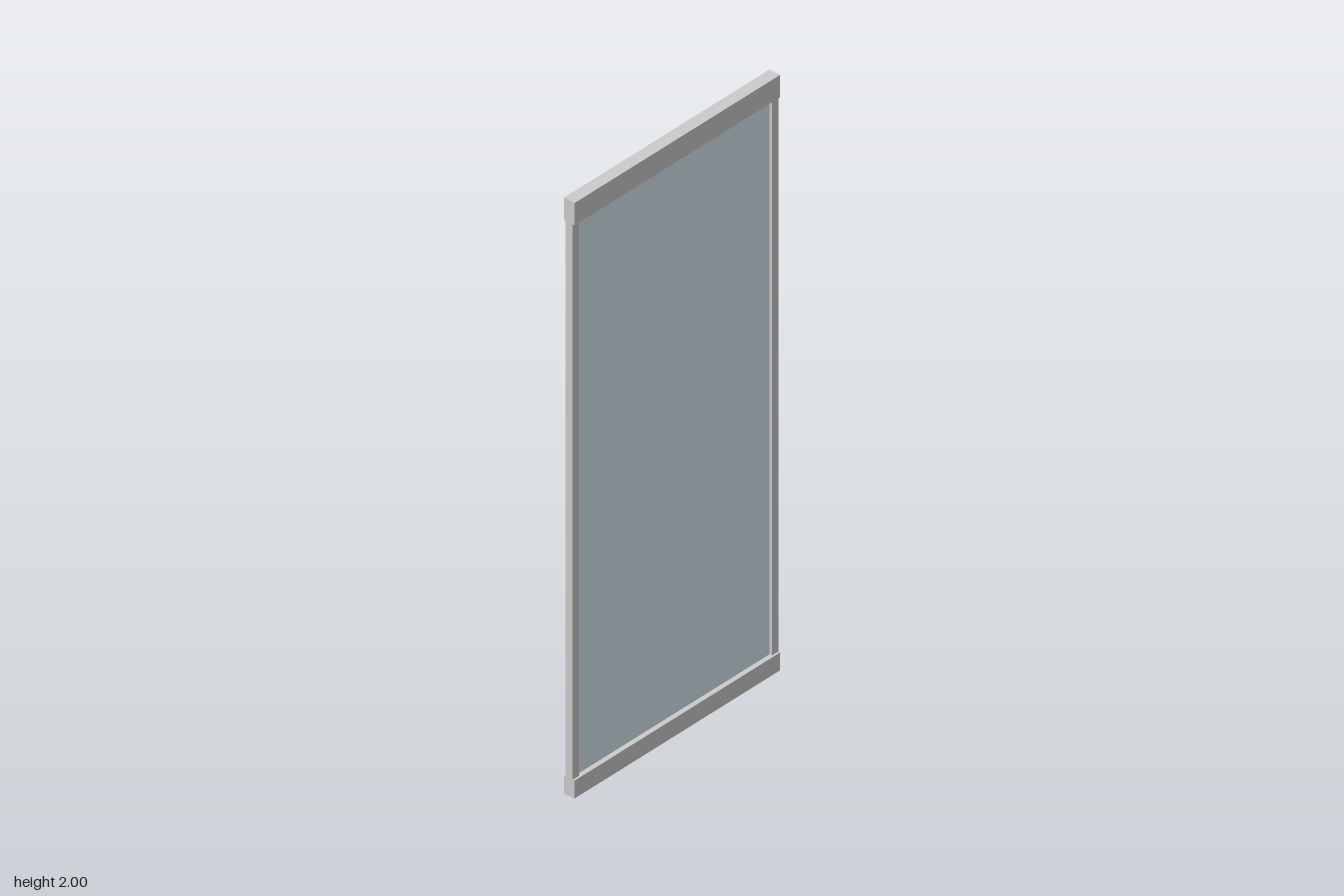
import * as THREE from 'three';

export function createModel() {
  const model = new THREE.Group();
  model.name = 'glazedPanel';
  const frame = new THREE.MeshStandardMaterial({ color: 0xcccccc });
  const glass = new THREE.MeshStandardMaterial({ color: 0xd7e7ef });

  const halfWidth = 0.427, innerHalf = 0.4;
  const bottom = 0.06, top = 1.925;

  // box given by its x and y limits, centred on z
  function slab(name, x0, x1, y0, y1, depth, material) {
    const mesh = new THREE.Mesh(new THREE.BoxGeometry(x1 - x0, y1 - y0, depth), material);
    mesh.position.set((x0 + x1) / 2, (y0 + y1) / 2, 0);
    mesh.name = name;
    model.add(mesh);
  }

  // thick rails across the full width
  slab('topRail', -halfWidth, halfWidth, top, 2, 0.04, frame);
  slab('bottomRail', -halfWidth, halfWidth, 0, bottom, 0.04, frame);

  // slimmer upright stiles between the rails
  slab('leftStile', innerHalf, halfWidth, bottom, top, 0.026, frame);
  slab('rightStile', -halfWidth, -innerHalf, bottom, top, 0.026, frame);

  // thin recessed pane
  slab('glassPane', -innerHalf, innerHalf, bottom, top, 0.008, glass);

  return model;
}
